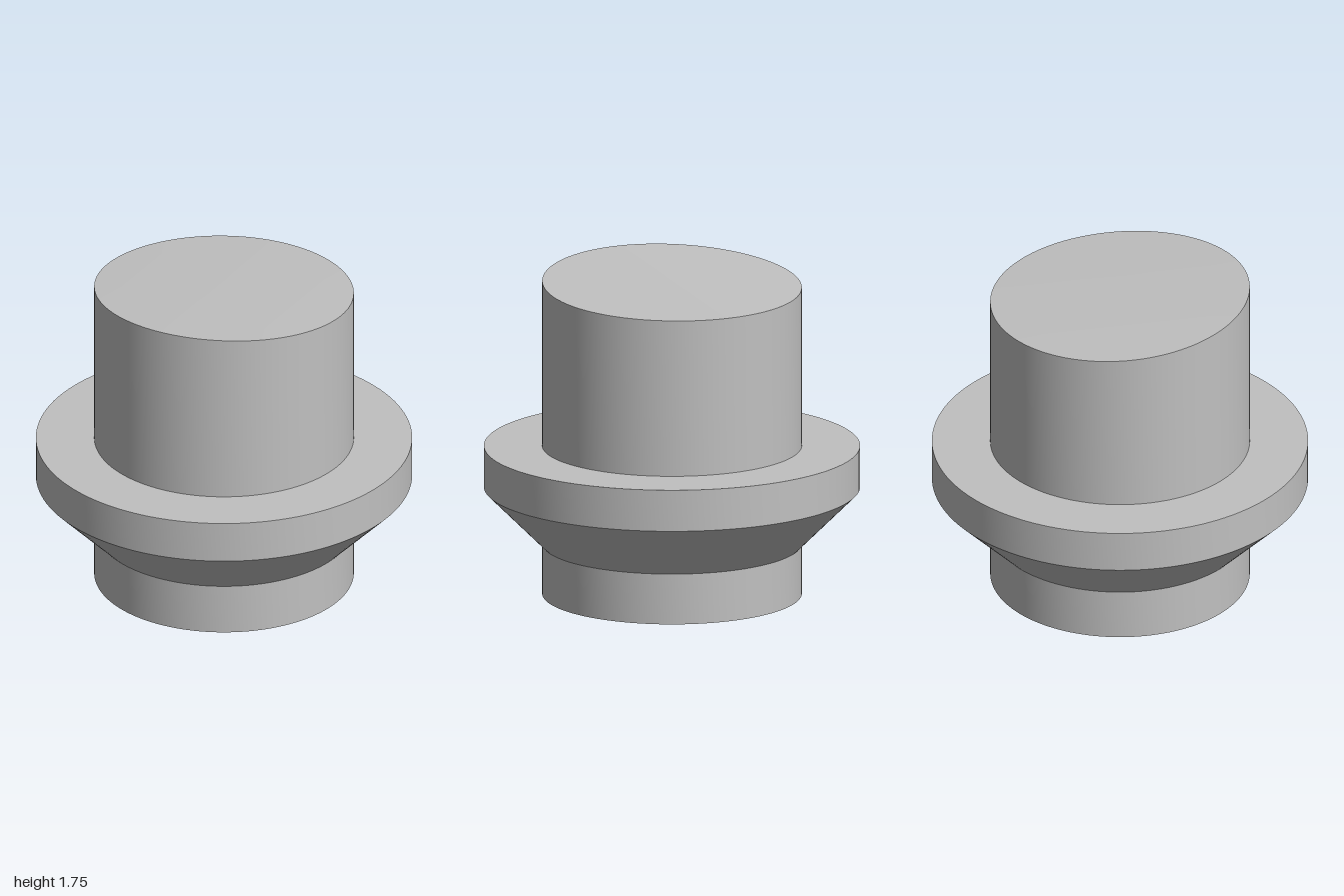
import * as THREE from 'three';
import { toCreasedNormals } from 'three/addons/utils/BufferGeometryUtils.js';

const SEGMENTS = 128;
const STEM = 0.69;
const FLANGE = 1;
const SOCKET = 0.5;

// Top face: slopes up toward the front and is gently crowned across x
const topHeight = (x, z) => 1.704 + 0.066 * z - 0.026 * x * x;

export function createModel() {
  const model = new THREE.Group();
  const grey = new THREE.MeshStandardMaterial({ color: 0xc0c0c0 });
  grey.name = 'plain grey';

  // Spins a profile (listed from bottom to top, outside) about y, keeping edges sharp
  const addTurned = (name, profile, reshape) => {
    const points = profile.map(([r, y]) => new THREE.Vector2(r, y));
    const geometry = new THREE.LatheGeometry(points, SEGMENTS);
    if (reshape) reshape(geometry.attributes.position);
    const mesh = new THREE.Mesh(toCreasedNormals(geometry, Math.PI / 6), grey);
    mesh.name = name;
    model.add(mesh);
  };

  // Foot with a shallow round socket underneath
  addTurned('foot', [[0, 0.165], [SOCKET, 0.165], [SOCKET, 0], [STEM, 0], [STEM, 0.275]]);

  // Flange with a 45 degree underside
  addTurned('flange', [[STEM, 0.275], [FLANGE, 0.585], [FLANGE, 0.81], [STEM, 0.81]]);

  // Stem: its top rings are lifted onto the sloping crowned face
  const capRings = [1, 0.8, 0.6, 0.4, 0.2, 0].map((f) => [STEM * f, 1.7]);
  addTurned('stem', [[STEM, 0.81], ...capRings], (position) => {
    for (let i = 0; i < position.count; i++) {
      if (position.getY(i) > 1) position.setY(i, topHeight(position.getX(i), position.getZ(i)));
    }
  });

  return model;
}
